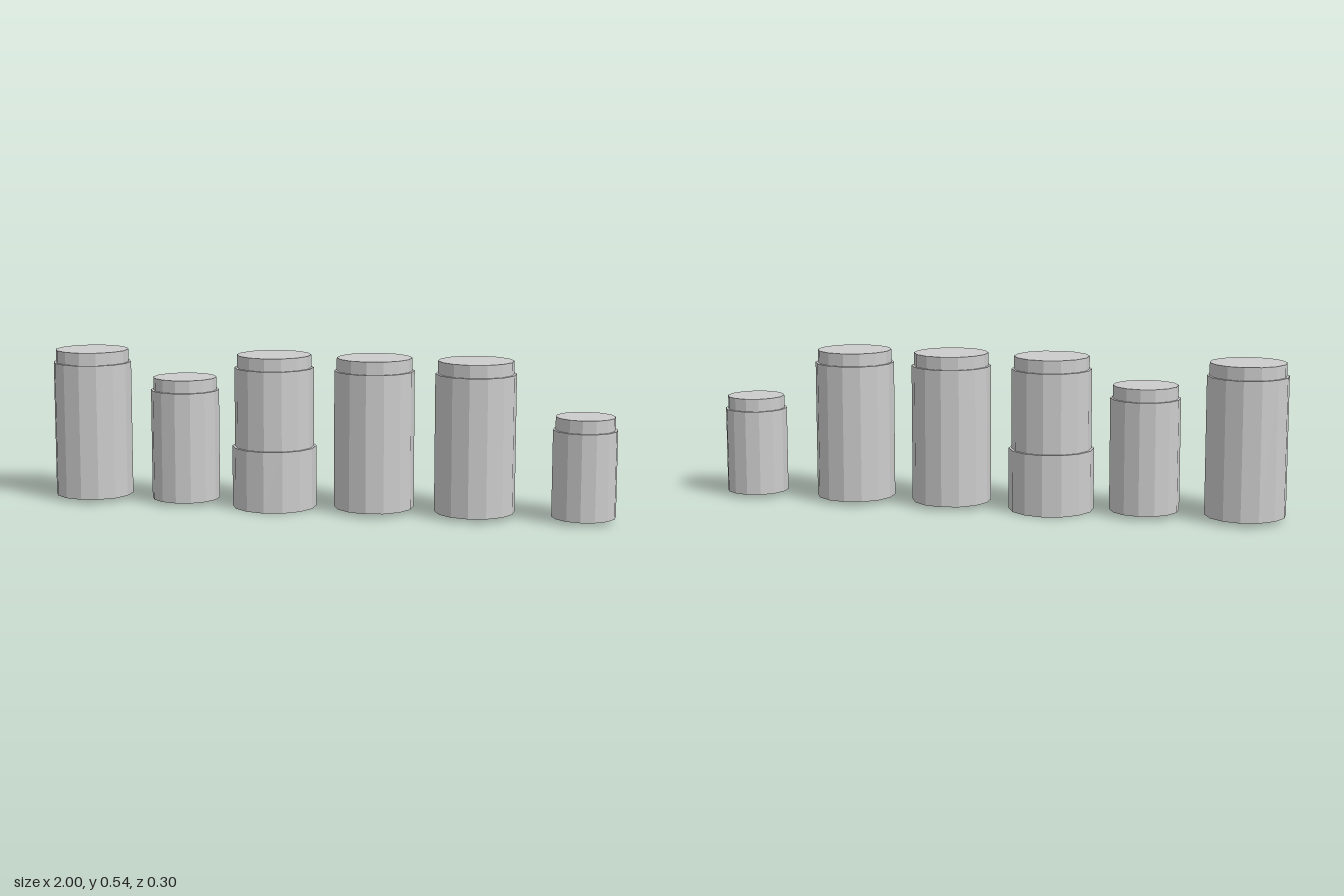
import * as THREE from 'three';

const SIDES = 14;
const FLOOR = 0.014; // underside of the plain jars

// x position, body radius, body top
const JARS = [
  { x: -0.865, r: 0.1385, top: 0.491 },
  { x: -0.519, r: 0.1205, top: 0.402 },
  { x: -0.192, r: 0.1385, top: 0.491, sleeve: true },
  { x: 0.166, r: 0.1385, top: 0.491 },
  { x: 0.519, r: 0.1385, top: 0.491 },
  { x: 0.893, r: 0.1095, top: 0.313 },
];

export function createModel() {
  const model = new THREE.Group();
  model.name = 'jarRow';
  const grey = new THREE.MeshStandardMaterial({ color: 0xcccccc, flatShading: true });
  grey.name = 'light grey';

  // Upright low-poly cylinder between two heights
  const drum = (name, r, bottom, top) => {
    const mesh = new THREE.Mesh(new THREE.CylinderGeometry(r, r, top - bottom, SIDES), grey);
    mesh.name = name;
    mesh.position.y = (bottom + top) / 2;
    return mesh;
  };

  JARS.forEach(({ x, r, top, sleeve }, i) => {
    const jar = new THREE.Group();
    jar.name = `jar${i + 1}`;
    jar.position.x = x;
    jar.add(drum('body', r, FLOOR, top));
    // Narrower lid on top
    jar.add(drum('lid', r - 0.0085, top, top + 0.0445));
    // Wider holder around the foot of one jar
    if (sleeve) jar.add(drum('baseSleeve', 0.1478, 0, 0.214));
    model.add(jar);
  });

  return model;
}
